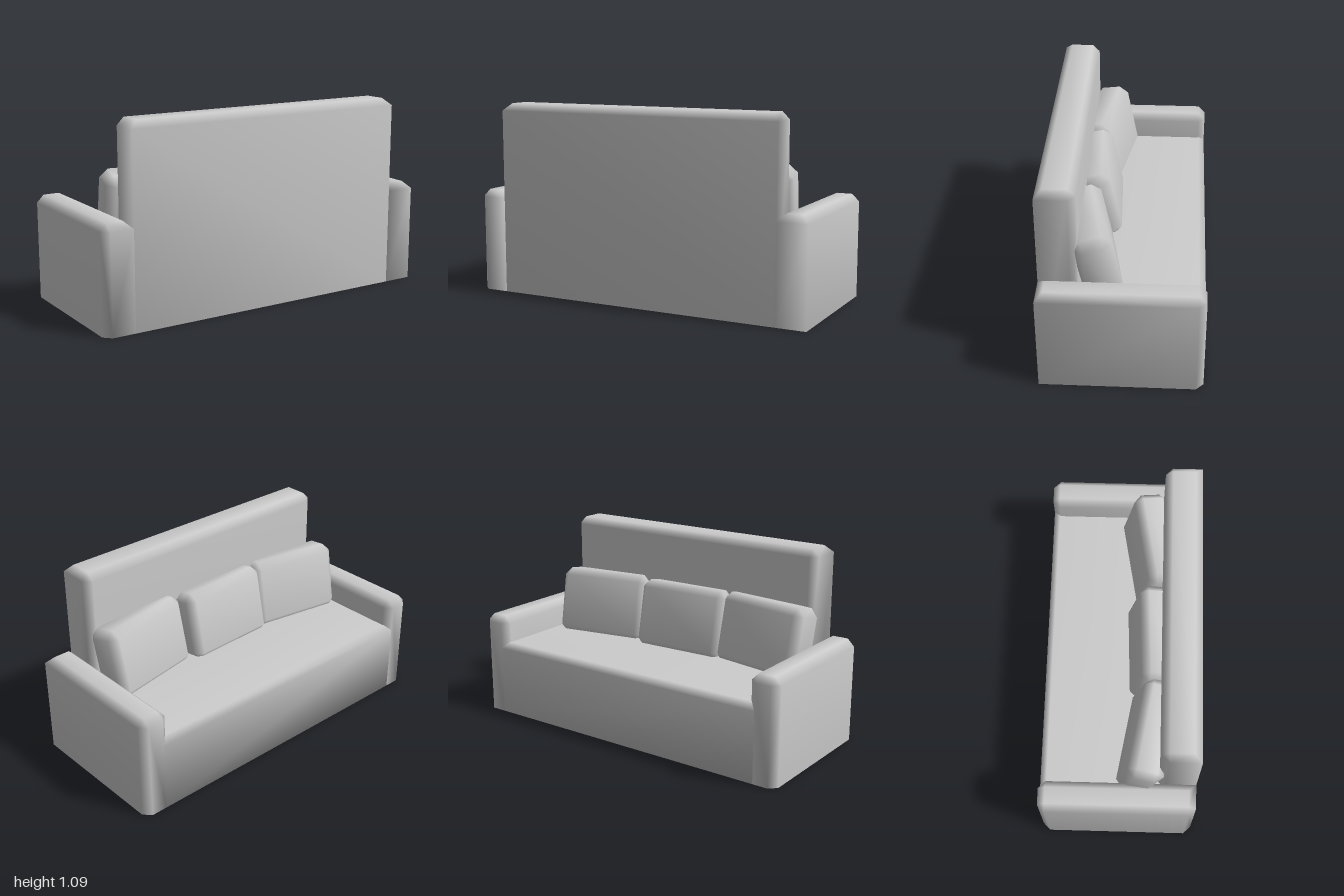
import * as THREE from 'three';
import { ConvexGeometry } from 'three/addons/geometries/ConvexGeometry.js';
import { mergeVertices } from 'three/addons/utils/BufferGeometryUtils.js';

// Box with chamfered edges and smooth shared normals.
// upright(sx, sz) tells which vertical edges are chamfered; the bottom is optional.
function softBox([x0, x1], [y0, y1], [z0, z1], c, upright = () => true, bottom = false) {
  const points = [];
  const add = (x, y, z) => points.push(new THREE.Vector3(x, y, z));
  for (const sx of [-1, 1]) for (const sz of [-1, 1]) {
    const x = sx < 0 ? x0 : x1, z = sz < 0 ? z0 : z1;
    const xi = x - sx * c, zi = z - sz * c;
    for (const y of [bottom ? y0 + c : y0, y1 - c]) {
      if (upright(sx, sz)) { add(xi, y, z); add(x, y, zi); } else add(x, y, z);
    }
    add(xi, y1, zi);
    if (bottom) add(xi, y0, zi);
  }
  let geometry = new ConvexGeometry(points);
  geometry.deleteAttribute('normal');
  geometry = mergeVertices(geometry);
  geometry.computeVertexNormals();
  return geometry;
}

export function createModel() {
  const group = new THREE.Group();
  const fabric = new THREE.MeshStandardMaterial({ color: 0xcccccc });
  fabric.name = 'greyFabric';

  const part = (name, geometry) => {
    const mesh = new THREE.Mesh(geometry, fabric);
    mesh.name = name;
    group.add(mesh);
    return mesh;
  };

  // Seat block, with a chamfered open edge at -z
  part('seat', softBox([-0.87, 0.87], [0, 0.43], [-0.43, 0.26], 0.035, () => false));

  // Tall backrest, flush with the +z side
  part('backrest', softBox([-0.83, 0.83], [0, 1.085], [0.225, 0.43], 0.04, (sx, sz) => sz < 0));

  // Armrests; only one outer corner is cut on the +z side
  part('leftArm', softBox([0.83, 1], [0, 0.585], [-0.43, 0.43], 0.04, (sx, sz) => sz < 0));
  part('rightArm', softBox([-1, -0.83], [0, 0.585], [-0.43, 0.43], 0.04, (sx, sz) => sz < 0 || sx < 0));

  // Three loose cushions leaning on the backrest
  const cushion = softBox([-0.283, 0.283], [-0.2, 0.2], [-0.1, 0.1], 0.045, () => true, true);
  const places = [
    ['rightCushion', -0.575, 0.16, -0.17],
    ['middleCushion', -0.035, 0.175, 0.04],
    ['leftCushion', 0.54, 0.165, 0.18],
  ];
  for (const [name, x, z, yaw] of places) {
    const mesh = part(name, cushion);
    mesh.position.set(x, 0.59, z);
    mesh.rotation.set(0.2, yaw, 0, 'YXZ');
  }
  return group;
}
